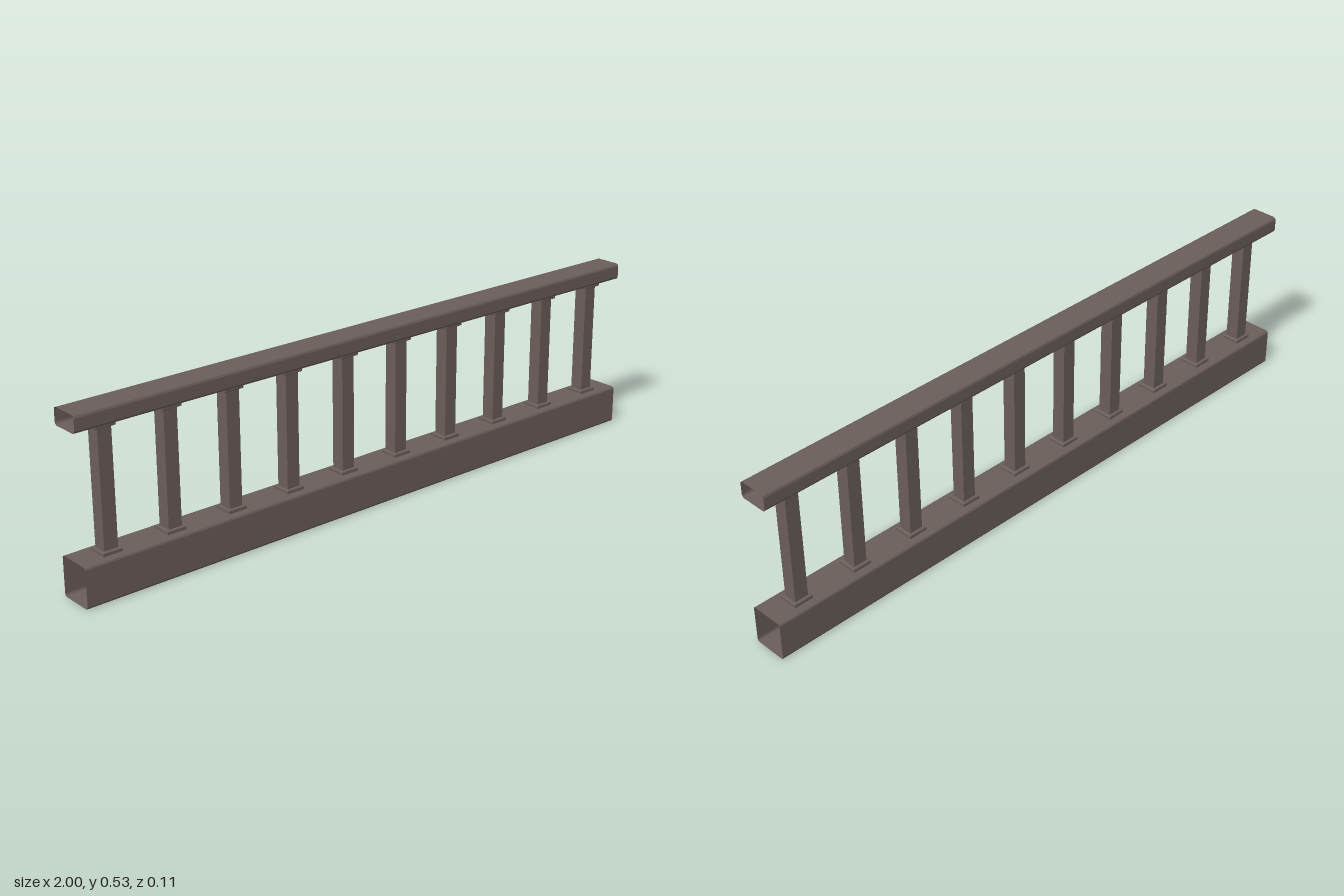
import * as THREE from 'three';

// Hollow, open-ended rail along x with chamfered long edges
function railGeometry(halfDepth, y0, y1, c) {
  const d = halfDepth;
  const profile = [ // [z, y], counter-clockwise
    [d - c, y0], [d - c * 0.3, y0 + c * 0.3], [d, y0 + c],
    [d, y1 - c], [d - c * 0.3, y1 - c * 0.3], [d - c, y1],
    [c - d, y1], [c * 0.3 - d, y1 - c * 0.3], [-d, y1 - c],
    [-d, y0 + c], [c * 0.3 - d, y0 + c * 0.3], [c - d, y0],
  ];
  const pos = [];
  profile.forEach(([z, y], i) => {
    const [z2, y2] = profile[(i + 1) % profile.length];
    pos.push(-1, y, z, 1, y, z, 1, y2, z2, -1, y, z, 1, y2, z2, -1, y2, z2);
  });
  const g = new THREE.BufferGeometry();
  g.setAttribute('position', new THREE.Float32BufferAttribute(pos, 3));
  g.computeVertexNormals();
  return g;
}

// Square plate with a small bevel around its upper edge
function plateGeometry(width, height, bevel) {
  const h = width / 2;
  const side = height - bevel;
  const profile = [[0, 0], [h, 0], [h, side], [h - bevel, height], [0, height]]
    .map(([r, y]) => new THREE.Vector2(r * Math.SQRT2, y));
  const g = new THREE.LatheGeometry(profile, 4).rotateY(Math.PI / 4).toNonIndexed();
  g.computeVertexNormals();
  return g;
}

export function createModel() {
  const model = new THREE.Group();
  const metal = new THREE.MeshStandardMaterial({ color: 0x6b5e5a, side: THREE.DoubleSide });
  metal.name = 'brown grey';

  const add = (parent, geometry, name, x = 0, y = 0) => {
    const mesh = new THREE.Mesh(geometry, metal);
    mesh.name = name;
    mesh.position.set(x, y, 0);
    parent.add(mesh);
    return mesh;
  };

  // Rails
  add(model, railGeometry(0.053, 0.004, 0.122, 0.007), 'bottomRail');
  add(model, railGeometry(0.045, 0.482, 0.532, 0.008), 'topRail');

  // Balusters with a foot and a head plate
  const post = new THREE.BoxGeometry(0.042, 0.34, 0.042);
  const plate = plateGeometry(0.059, 0.0105, 0.002);
  for (let i = 0; i < 10; i++) {
    const baluster = new THREE.Group();
    baluster.name = 'baluster';
    baluster.position.x = -0.9 + i * 0.2;
    add(baluster, post, 'post', 0, 0.301);
    add(baluster, plate, 'footPlate', 0, 0.122);
    add(baluster, plate, 'headPlate', 0, 0.481).rotation.x = Math.PI;
    model.add(baluster);
  }
  model.position.y = -0.004;
  const root = new THREE.Group();
  root.name = 'railing';
  root.add(model);
  return root;
}
